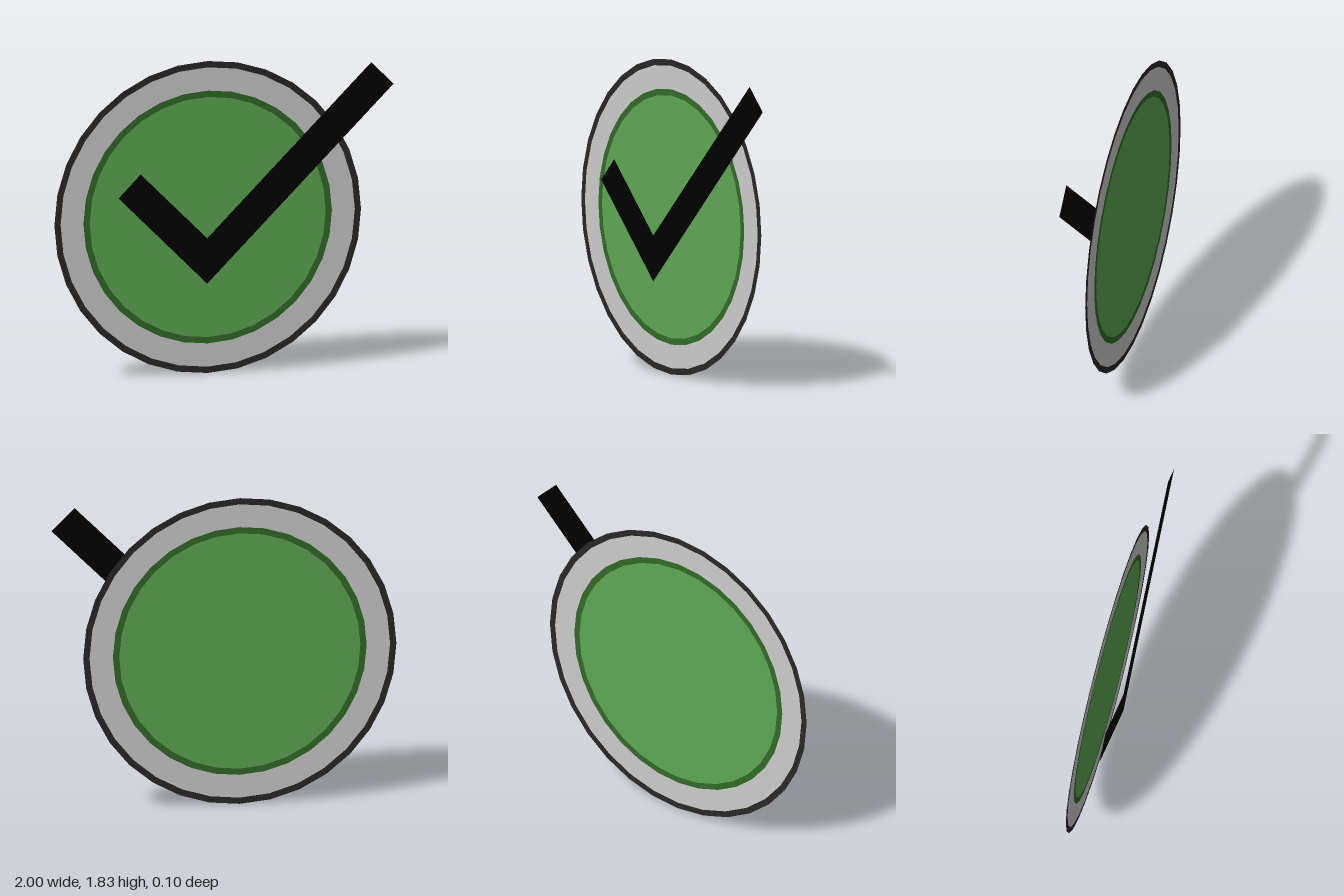
import * as THREE from 'three';

const SIDES = 32;
const HALF_GAP = 0.052;

function flatPart(name, geometry, color) {
  const material = new THREE.MeshStandardMaterial({ color, side: THREE.DoubleSide });
  const mesh = new THREE.Mesh(geometry, material);
  mesh.name = name;
  return mesh;
}

export function createModel() {
  const model = new THREE.Group();
  model.name = 'checkBadge';

  // Round badge: concentric flat bands around a green disc
  const badge = new THREE.Group();
  badge.name = 'badge';
  badge.position.set(-0.083, 0.917, -HALF_GAP);
  const bands = [
    ['outerBorder', 0.88, 0.917, 0x282828],
    ['rim', 0.743, 0.88, 0xcccccc],
    ['innerBorder', 0.706, 0.743, 0x326a28],
  ];
  for (const [name, inner, outer, color] of bands) {
    badge.add(flatPart(name, new THREE.RingGeometry(inner, outer, SIDES), color));
  }
  badge.add(flatPart('disc', new THREE.CircleGeometry(0.706, SIDES), 0x5ea853));
  model.add(badge);

  // Check mark floating in front of the badge
  const outline = [
    [-0.513, 1.211], [-0.645, 1.077], [-0.115, 0.547],
    [1.0, 1.662], [0.866, 1.795], [-0.115, 0.814],
  ].map(([x, y]) => new THREE.Vector2(x, y));
  const checkMark = flatPart('checkMark', new THREE.ShapeGeometry(new THREE.Shape(outline)), 0x000000);
  checkMark.position.z = HALF_GAP;
  model.add(checkMark);

  return model;
}
